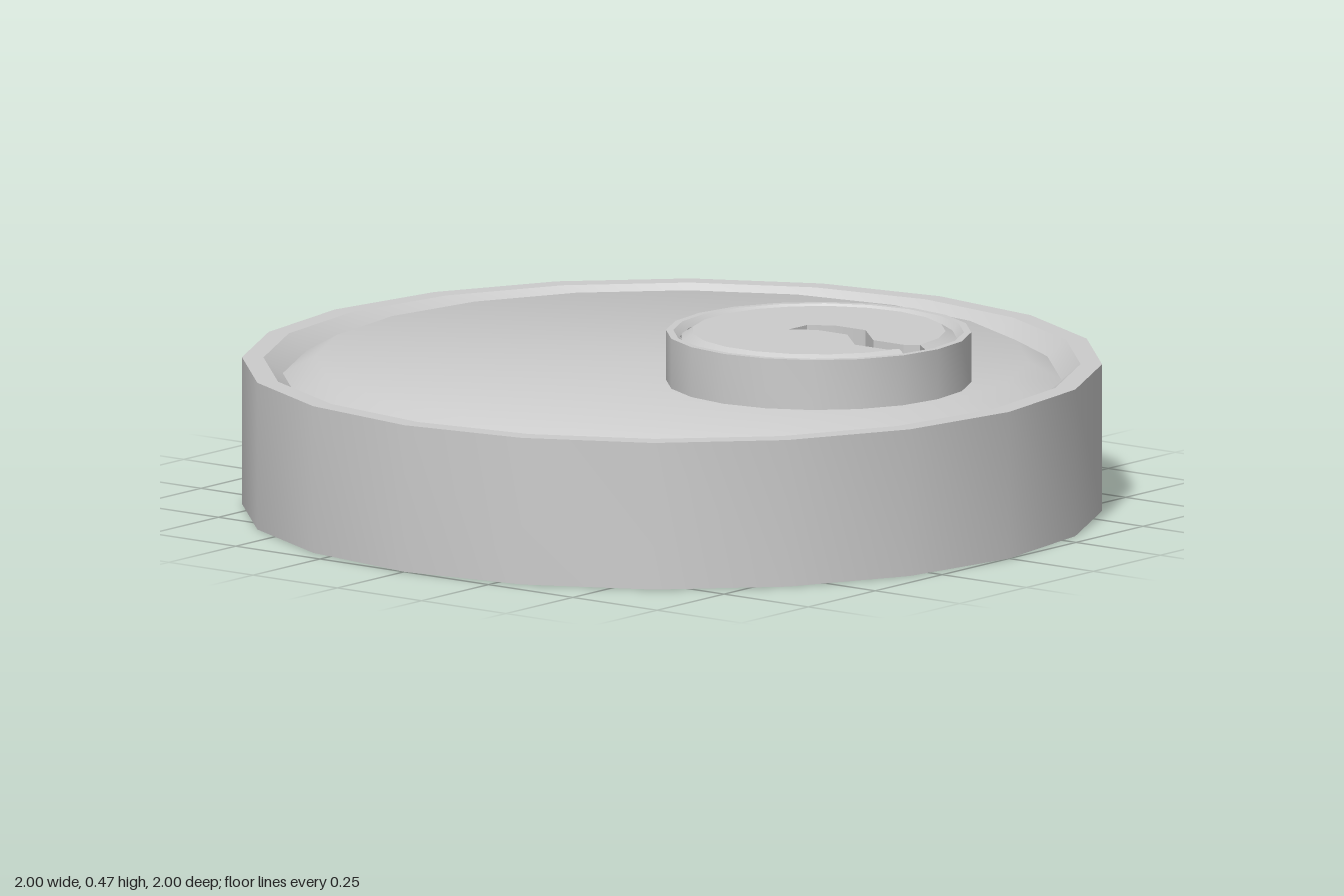
import * as THREE from 'three';
import { toCreasedNormals } from 'three/addons/utils/BufferGeometryUtils.js';

const SIDES = 20;
const material = new THREE.MeshStandardMaterial({ color: 0xcccccc, side: THREE.DoubleSide });

function addMesh(parent, name, geometry) {
  const mesh = new THREE.Mesh(toCreasedNormals(geometry, 0.6), material);
  mesh.name = name;
  parent.add(mesh);
  return mesh;
}

// Turned part from [radius, height] pairs, optionally open over part of the circle
function turned(pairs, start = 0, length = Math.PI * 2) {
  const points = pairs.map(([r, y]) => new THREE.Vector2(r, y));
  return new THREE.LatheGeometry(points, SIDES, start, length);
}

export function createModel() {
  const model = new THREE.Group();

  // Round base: chamfered rim, shallow groove and raised centre plate
  addMesh(model, 'base', turned([
    [0, 0], [1, 0], [1, 0.347], [0.95, 0.347], [0.905, 0.31], [0.83, 0.352], [0, 0.352],
  ]));

  // Small round button near the front edge
  const button = new THREE.Group();
  button.name = 'button';
  button.position.z = 0.435;
  model.add(button);

  // Button body: outer wall, rim and hollow that holds the plate
  addMesh(button, 'buttonBody', turned([
    [0.355, 0.34], [0.355, 0.47], [0.338, 0.47], [0.322, 0.455], [0.322, 0.4], [0, 0.4],
  ]));

  // Button plate: disc outline broken at the front by a zigzag slot
  const start = 0.025;
  const length = Math.PI * 2 - 0.235;
  const radius = 0.295;
  const outline = [];
  for (let i = 0; i <= SIDES; i++) {
    const a = start + (length * i) / SIDES;
    outline.push(new THREE.Vector2(radius * Math.sin(a), radius * Math.cos(a)));
  }
  const slot = [
    [-0.085, 0.27], [-0.085, 0.175], [0, 0.085], [0, -0.005], [-0.035, -0.06],
    [0.033, -0.06], [0.068, -0.005], [0.068, 0.085], [-0.016, 0.175], [-0.016, 0.265],
  ];
  slot.forEach(([x, z]) => outline.push(new THREE.Vector2(x, z)));
  const plate = new THREE.ExtrudeGeometry(new THREE.Shape(outline), {
    depth: 0.07, bevelEnabled: false,
  });
  plate.rotateX(Math.PI / 2);
  addMesh(button, 'buttonPlate', plate).position.y = 0.472;

  // Sloping edge of the plate, open where the slot runs out
  addMesh(button, 'plateEdge', turned([[0.322, 0.455], [radius, 0.472]], start, length));

  return model;
}
